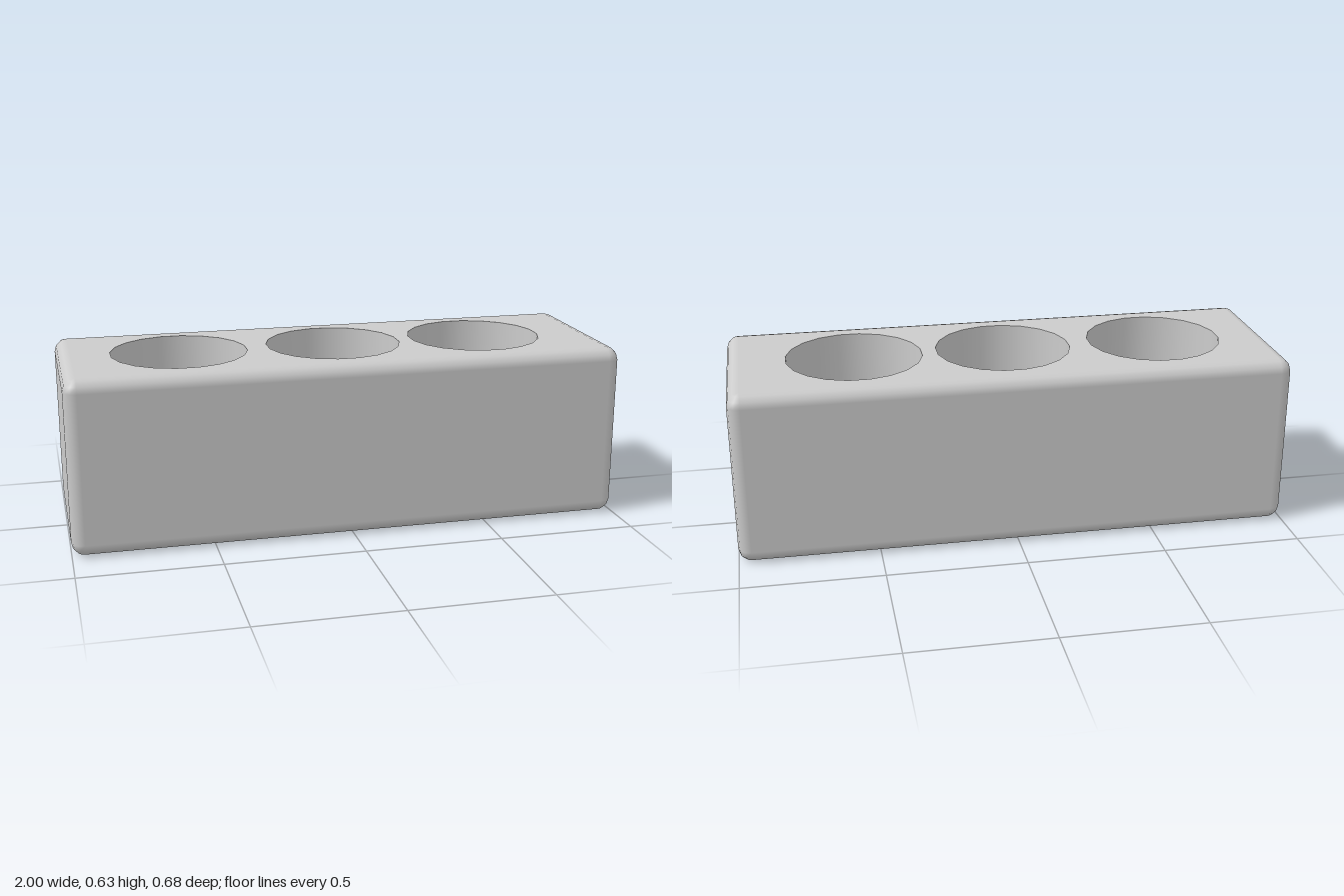
import * as THREE from 'three';

const W = 1, H = 0.63, D = 0.34;          // half width, height, half depth
const R = 0.046, STEPS = 3;               // edge rounding
const SIDES = 20, WELL_R = 0.247, PIN_R = 0.03;
const FLOOR_Y = 0.33, PIN_END_Y = 0.18;
const SOCKETS = [-0.57, 0, 0.545], PIN_X = 0.111;

const material = new THREE.MeshStandardMaterial({ color: 0xcccccc });
const inside = new THREE.MeshStandardMaterial({ color: 0xcccccc, side: THREE.DoubleSide });

function addMesh(parent, name, geometry, mat, x = 0, y = 0) {
  const mesh = new THREE.Mesh(geometry, mat);
  mesh.name = name;
  mesh.position.set(x, y, 0);
  parent.add(mesh);
}

// Regular polygon outline, turned half a step so its sides face the axes
function circlePoints(cx, r) {
  return Array.from({ length: SIDES }, (_, i) => {
    const t = ((i + 0.5) / SIDES) * Math.PI * 2;
    return new THREE.Vector2(cx + r * Math.cos(t), r * Math.sin(t));
  });
}

// Flat upward-facing sheet with round holes
function flatSheet(outline, holes) {
  const shape = new THREE.Shape(outline);
  shape.holes = holes.map((h) => new THREE.Path(h));
  return new THREE.ShapeGeometry(shape).rotateX(-Math.PI / 2);
}

function tube(r, height) {
  return new THREE.CylinderGeometry(r, r, height, SIDES, 1, true, Math.PI / SIDES);
}

// Rounded shell lofted from bottom ring to top ring, open at both flat faces
function shellGeometry() {
  const pos = [], nor = [], index = [];
  const ringSize = 4 * (STEPS + 1);
  const rows = 2 * (STEPS + 1);
  for (let j = 0; j < rows; j++) {
    const upper = j > STEPS;
    const phi = ((upper ? j - STEPS - 1 : j - STEPS) / STEPS) * Math.PI / 2;
    for (let c = 0; c < 4; c++) {
      const sx = c === 0 || c === 3 ? 1 : -1, sz = c < 2 ? 1 : -1;
      for (let k = 0; k <= STEPS; k++) {
        const t = (c + k / STEPS) * Math.PI / 2;
        const n = [Math.cos(phi) * Math.cos(t), Math.sin(phi), Math.cos(phi) * Math.sin(t)];
        nor.push(...n);
        pos.push(sx * (W - R) + R * n[0], (upper ? H - R : R) + R * n[1], sz * (D - R) + R * n[2]);
      }
    }
  }
  for (let j = 0; j < rows - 1; j++) {
    for (let i = 0; i < ringSize; i++) {
      const a = j * ringSize + i, b = j * ringSize + ((i + 1) % ringSize);
      index.push(a, a + ringSize, b, b, a + ringSize, b + ringSize);
    }
  }
  const geometry = new THREE.BufferGeometry();
  geometry.setAttribute('position', new THREE.Float32BufferAttribute(pos, 3));
  geometry.setAttribute('normal', new THREE.Float32BufferAttribute(nor, 3));
  geometry.setIndex(index);
  return geometry;
}

export function createModel() {
  const model = new THREE.Group();
  model.name = 'powerStrip';

  // Housing: rounded shell, underside and pierced top
  const w = W - R, d = D - R;
  const rect = [[-w, -d], [w, -d], [w, d], [-w, d]].map((p) => new THREE.Vector2(...p));
  const housing = new THREE.Group();
  housing.name = 'housing';
  addMesh(housing, 'shell', shellGeometry(), material);
  addMesh(housing, 'underside', new THREE.PlaneGeometry(2 * w, 2 * d).rotateX(Math.PI / 2), material);
  addMesh(housing, 'topFace', flatSheet(rect, SOCKETS.map((x) => circlePoints(x, WELL_R))), material, 0, H);
  model.add(housing);

  // Sockets: round well, floor and two pin holes each
  for (const x of SOCKETS) {
    const socket = new THREE.Group();
    socket.name = 'socket';
    socket.position.x = x;
    addMesh(socket, 'wellWall', tube(WELL_R, H - FLOOR_Y), inside, 0, (H + FLOOR_Y) / 2);
    const pins = [-PIN_X, PIN_X];
    addMesh(socket, 'wellFloor',
      flatSheet(circlePoints(0, WELL_R), pins.map((p) => circlePoints(p, PIN_R))), material, 0, FLOOR_Y);
    for (const p of pins) {
      addMesh(socket, 'pinHoleWall', tube(PIN_R, FLOOR_Y - PIN_END_Y), inside, p, (FLOOR_Y + PIN_END_Y) / 2);
      addMesh(socket, 'pinHoleEnd', flatSheet(circlePoints(0, PIN_R), []), material, p, PIN_END_Y);
    }
    model.add(socket);
  }
  return model;
}
